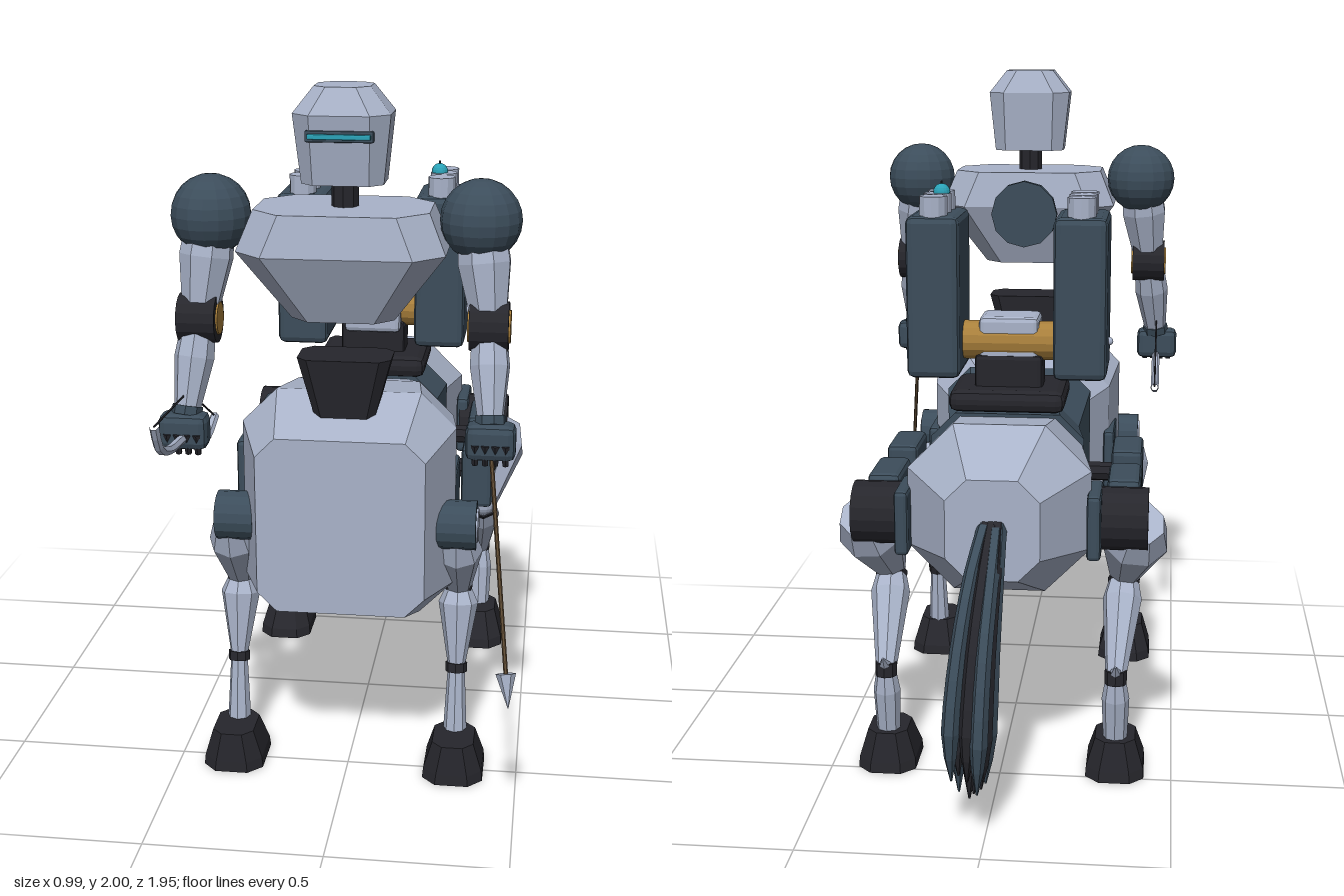
import * as THREE from 'three';
import { RoundedBoxGeometry } from 'three/addons/geometries/RoundedBoxGeometry.js';

const paint = (name, color) => {
  const m = new THREE.MeshStandardMaterial({ color, flatShading: true });
  m.name = name;
  return m;
};

export function createModel() {
  const root = new THREE.Group();
  root.name = 'robotCentaur';
  const light = paint('paleArmour', 0xa9b3c9);
  const slate = paint('slateArmour', 0x3c4d5b);
  const black = paint('blackJoint', 0x26262c);
  const gold = paint('brass', 0xa9803c);
  const teal = paint('tealGlow', 0x2ba3b8);
  const brown = paint('woodShaft', 0x5e4a33);
  const V = (x, y, z) => new THREE.Vector3(x, y, z);

  const add = (name, geo, mat, x = 0, y = 0, z = 0) => {
    const m = new THREE.Mesh(geo, mat);
    m.name = name;
    m.position.set(x, y, z);
    root.add(m);
    return m;
  };
  const box = (name, mat, x0, x1, y0, y1, z0, z1, r = 0.015) => add(name,
    new RoundedBoxGeometry(x1 - x0, y1 - y0, z1 - z0, 1, r), mat, (x0 + x1) / 2, (y0 + y1) / 2, (z0 + z1) / 2);
  const ball = (name, mat, p, r) => add(name, new THREE.SphereGeometry(r, 16, 12), mat, p.x, p.y, p.z);
  const disc = (name, mat, x, y, z, r, len, sides = 16) => {
    const m = add(name, new THREE.CylinderGeometry(r, r, len, sides), mat, x, y, z);
    m.rotation.z = Math.PI / 2;
    return m;
  };

  // Chamfered-rectangle loft; each section is [w, a0, a1, b0, b1, chamfer].
  // Axis 'y': a is x and b is z. Axis 'z': a is x and b is y.
  function loft(name, mat, axis, sections) {
    const rings = sections.map(([w, a0, a1, b0, b1, c]) => [
      [a0 + c, b0], [a1 - c, b0], [a1, b0 + c], [a1, b1 - c],
      [a1 - c, b1], [a0 + c, b1], [a0, b1 - c], [a0, b0 + c],
    ].map(([a, b]) => (axis === 'y' ? V(a, w, b) : V(a, b, w))));
    const tris = [];
    for (let i = 0; i + 1 < rings.length; i++) {
      for (let k = 0; k < 8; k++) {
        const j = (k + 1) % 8, p = rings[i], q = rings[i + 1];
        tris.push([p[k], p[j], q[j]], [p[k], q[j], q[k]]);
      }
    }
    const last = rings[rings.length - 1];
    for (let k = 1; k < 7; k++) {
      tris.push([rings[0][0], rings[0][k + 1], rings[0][k]], [last[0], last[k], last[k + 1]]);
    }
    // Signed volume decides which way the corners must run
    const vol = tris.reduce((s, [a, b, c]) => s + a.dot(V(0, 0, 0).crossVectors(b, c)), 0);
    const pts = tris.flatMap(([a, b, c]) => (vol < 0 ? [a, c, b] : [a, b, c]));
    const geo = new THREE.BufferGeometry().setFromPoints(pts);
    geo.computeVertexNormals();
    return add(name, geo, mat);
  }

  // Faceted limb from a to b with [fraction, radius] stops
  function limb(name, mat, a, b, stops, sides = 8) {
    const len = a.distanceTo(b);
    const prof = [[stops[0][0], 0], ...stops, [stops[stops.length - 1][0], 0]];
    const geo = new THREE.LatheGeometry(prof.map(([t, r]) => new THREE.Vector2(r, t * len)), sides);
    const m = add(name, geo, mat, a.x, a.y, a.z);
    m.quaternion.setFromUnitVectors(V(0, 1, 0), b.clone().sub(a).normalize());
    return m;
  }

  // Horse body
  loft('foreBody', light, 'z', [
    [0.65, -0.235, 0.235, 0.55, 1.06, 0.055], [0.45, -0.305, 0.305, 0.48, 1.145, 0.1],
    [0.22, -0.28, 0.28, 0.51, 1.11, 0.1], [0.1, -0.22, 0.22, 0.6, 1.08, 0.09]]);
  loft('waist', slate, 'z', [
    [0.1, -0.225, 0.225, 0.61, 1.09, 0.07], [-0.08, -0.2, 0.2, 0.67, 1.02, 0.07],
    [-0.27, -0.225, 0.225, 0.66, 1.03, 0.07]]);
  loft('hindBody', light, 'z', [
    [-0.27, -0.22, 0.22, 0.665, 1.02, 0.08], [-0.5, -0.26, 0.26, 0.57, 1.055, 0.13],
    [-0.685, -0.13, 0.13, 0.66, 0.945, 0.06]]);

  // Torso and head
  loft('torsoBase', black, 'y', [
    [1.08, -0.08, 0.08, 0.44, 0.56, 0.02], [1.265, -0.13, 0.13, 0.425, 0.58, 0.03]]);
  loft('chest', light, 'y', [
    [1.38, -0.14, 0.14, 0.41, 0.61, 0.05], [1.57, -0.28, 0.28, 0.33, 0.7, 0.08],
    [1.68, -0.235, 0.235, 0.35, 0.68, 0.08]]);
  limb('neck', black, V(0, 1.66, 0.51), V(0, 1.77, 0.51), [[0, 0.037], [1, 0.037]]);
  loft('head', light, 'y', [
    [1.745, -0.11, 0.11, 0.42, 0.595, 0.035], [1.93, -0.13, 0.13, 0.405, 0.625, 0.05],
    [2.0, -0.075, 0.075, 0.435, 0.59, 0.035]]);
  box('visorFrame', slate, -0.09, 0.09, 1.862, 1.892, 0.6, 0.625, 0.004);
  box('visor', teal, -0.083, 0.083, 1.87, 1.884, 0.61, 0.633, 0.003);

  // Floating disc behind the chest
  const back = add('backDisc', new THREE.CylinderGeometry(0.105, 0.105, 0.03, 12), slate, 0, 1.555, 0.277);
  const glow = add('backDiscGlow', new THREE.CylinderGeometry(0.09, 0.09, 0.008, 12), teal, 0, 1.555, 0.296);
  back.rotation.x = glow.rotation.x = Math.PI / 2;

  for (const s of [-1, 1]) {
    // Arms
    const sh = V(s * 0.365, 1.65, 0.515), el = V(s * 0.395, 1.372, 0.56);
    const hand = s > 0 ? V(0.41, 1.085, 0.67) : V(-0.427, 1.075, 0.645);
    ball('shoulder', slate, sh, 0.11);
    limb('upperArm', light, sh, el, [[0.2, 0.07], [0.4, 0.075], [0.95, 0.05]]);
    disc('elbow', black, el.x, el.y, el.z, 0.068, 0.105);
    disc('elbowCap', gold, el.x, el.y, el.z, 0.045, 0.115);
    limb('forearm', light, el, hand, [[0.15, 0.05], [0.35, 0.055], [0.85, 0.034]]);
    limb('wrist', slate, el, hand, [[0.78, 0.042], [0.86, 0.042]]);
    box('hand', slate, hand.x - 0.067, hand.x + 0.067, hand.y - 0.048, hand.y + 0.05, hand.z - 0.04, hand.z + 0.04, 0.02);
    for (let i = 0; i < 4; i++) {
      const x = hand.x - 0.04 + i * 0.027;
      limb('finger', black, V(x, hand.y, hand.z + 0.035), V(x, hand.y - 0.06, hand.z + 0.02), [[0, 0.012], [1, 0.009]], 6);
    }

    // Front legs
    const fx = s * (s > 0 ? 0.315 : 0.335);
    const fk = V(fx, 0.54, 0.385), fa = V(fx, 0.3, 0.44), ff = V(fx, 0.08, 0.46);
    disc('foreHip', slate, s * 0.315, 0.78, 0.51, 0.07, 0.11);
    disc('foreHipCap', light, s * 0.315, 0.78, 0.51, 0.048, 0.12);
    limb('foreThigh', light, V(fx, 0.77, 0.515), fk, [[0.05, 0.05], [0.35, 0.072], [1, 0.038]]);
    ball('foreKnee', black, fk, 0.04);
    limb('foreShin', light, fk, fa, [[0, 0.035], [0.2, 0.058], [0.95, 0.026]]);
    limb('foreAnkle', black, fk, fa, [[0.93, 0.032], [1.04, 0.032]]);
    limb('forePastern', light, fa, ff, [[0, 0.025], [1, 0.036]]);
    loft('foreHoof', black, 'y', [
      [0, fx - 0.088, fx + 0.088, 0.385, 0.6, 0.04], [0.03, fx - 0.085, fx + 0.085, 0.388, 0.597, 0.04],
      [0.115, fx - 0.06, fx + 0.06, 0.425, 0.585, 0.03]]);

    // Hind legs
    const hx = s * 0.335, hk = V(s * 0.35, 0.55, -0.275), ha = V(hx, 0.31, -0.485);
    disc('hindHip', black, s * 0.34, 0.78, -0.46, 0.09, 0.16);
    limb('hindThigh', light, V(s * 0.395, 0.77, -0.46), hk, [[0, 0.075], [0.28, 0.1], [1, 0.045]]);
    ball('hindKnee', light, hk, 0.042);
    limb('hindKneeBand', black, hk, ha, [[0.04, 0.048], [0.12, 0.046]]);
    limb('hindShin', light, hk, ha, [[0, 0.04], [0.25, 0.058], [1, 0.03]]);
    limb('hockSpur', light, ha, V(hx, 0.36, -0.535), [[0, 0.025], [1, 0.003]], 6);
    limb('hindAnkle', black, V(hx, 0.33, -0.485), V(hx, 0.29, -0.488), [[0, 0.032], [1, 0.032]]);
    limb('hindCannon', light, ha, V(hx, 0.08, -0.455), [[0, 0.028], [0.3, 0.04], [1, 0.034]]);
    loft('hindHoof', black, 'y', [
      [0, hx - 0.085, hx + 0.085, -0.535, -0.31, 0.04], [0.03, hx - 0.083, hx + 0.083, -0.53, -0.315, 0.04],
      [0.115, hx - 0.058, hx + 0.058, -0.51, -0.36, 0.03]]);

    // Flank plates and saddle boxes
    const side = (name, a, b, z0, z1, r) =>
      box(name, slate, Math.min(s * a, s * b), Math.max(s * a, s * b), 0.685, 0.873, z0, z1, r);
    side('forePlate', 0.265, 0.3, 0.165, 0.4, 0.012);
    side('hindPlate', 0.25, 0.29, -0.575, -0.39, 0.012);
    side('saddleBox', 0.3, 0.395, -0.075, 0.13);
    side('saddleBox', 0.3, 0.395, -0.4, -0.195);
    for (const z of [0.03, -0.3]) disc('boxMount', black, s * 0.25, 0.78, z, 0.03, 0.12, 8);

    // Launcher pods
    box('launcherPod', slate, s > 0 ? 0.135 : -0.29, s > 0 ? 0.29 : -0.135, 1.14, 1.61, -0.315, -0.045, 0.02);
    for (const z of [-0.265, -0.18, -0.095]) {
      limb('launchTube', light, V(s * 0.213, 1.58, z), V(s * 0.213, 1.665, z), [[0, 0.041], [1, 0.041]], 12);
    }
    ball('podKnob', light, V(s * 0.292, 1.235, -0.178), 0.012);
  }

  // Turret between the pods
  box('turretBase', black, -0.17, 0.17, 1.04, 1.105, -0.315, -0.04, 0.025);
  box('turretNeck', black, -0.1, 0.1, 1.09, 1.2, -0.24, -0.12);
  disc('turretAxle', gold, 0, 1.235, -0.185, 0.058, 0.28);
  box('turretHousing', light, -0.088, 0.088, 1.17, 1.31, -0.235, -0.095);
  box('turretLens', teal, -0.08, 0.08, 1.27, 1.29, -0.097, -0.089, 0.003);
  ball('beacon', teal, V(0.2, 1.668, -0.18), 0.025);
  limb('antenna', black, V(0.2, 1.66, -0.18), V(0.2, 1.7, -0.18), [[0, 0.004], [1, 0.003]], 6);

  // Bow: limb bent around the right hand, string drawn back to the forearm
  const bx = -0.425;
  const bowCurve = new THREE.CatmullRomCurve3([[1.19, 0.97], [1.12, 0.93], [1.08, 0.83], [1.06, 0.68],
    [1.01, 0.53], [0.97, 0.4], [1.0, 0.28]].map(([y, z]) => V(bx, y, z)));
  add('bow', new THREE.TubeGeometry(bowCurve, 20, 0.013, 6), light);
  const nock = V(bx, 1.172, 0.6);
  for (const end of [V(bx, 1.19, 0.97), V(bx, 1.0, 0.28)]) limb('bowString', black, end, nock, [[0, 0.003], [1, 0.003]], 5);

  // Arrow in the left hand
  const tail = V(0.41, 1.08, 0.68), tip = V(0.482, 0.435, 0.925);
  limb('arrowShaft', brown, tail, tip, [[0, 0.006], [0.9, 0.006]], 6);
  limb('arrowHead', light, tail, tip, [[0.87, 0.027], [1, 0.001]], 6);

  // Tail: a fan of tapering strands
  for (let i = 0; i < 9; i++) {
    const a = i * 2.4, r = i === 0 ? 0 : 0.6 + 0.4 * (i % 2);
    const u = Math.cos(a) * r, v = Math.sin(a) * r, drop = 0.03 * (i % 3);
    const path = new THREE.CatmullRomCurve3([
      [0, 0.82, -0.67, 0.022], [0.01, 0.72, -0.775, 0.035], [0.025, 0.52, -0.865, 0.045],
      [0.035, 0.32, -0.905, 0.05], [0.04, 0.12 + drop, -0.895, 0.045],
    ].map(([x, y, z, w]) => V(x + u * w * 1.2, y + (y > 0.7 ? v * w * 0.7 : 0), z + v * w)));
    const geo = new THREE.TubeGeometry(path, 10, 1, 6);
    const p = geo.attributes.position, c = V(0, 0, 0), q = V(0, 0, 0);
    for (let k = 0; k < p.count; k++) {
      const t = Math.floor(k / 7) / 10;
      path.getPointAt(t, c);
      q.fromBufferAttribute(p, k).sub(c).multiplyScalar(t > 0.85 ? 0.024 * (1.02 - t) / 0.17 : 0.02 + 0.006 * t).add(c);
      p.setXYZ(k, q.x, q.y, q.z);
    }
    geo.computeVertexNormals();
    add('tailStrand', geo, i % 2 ? slate : black);
  }
  return root;
}
